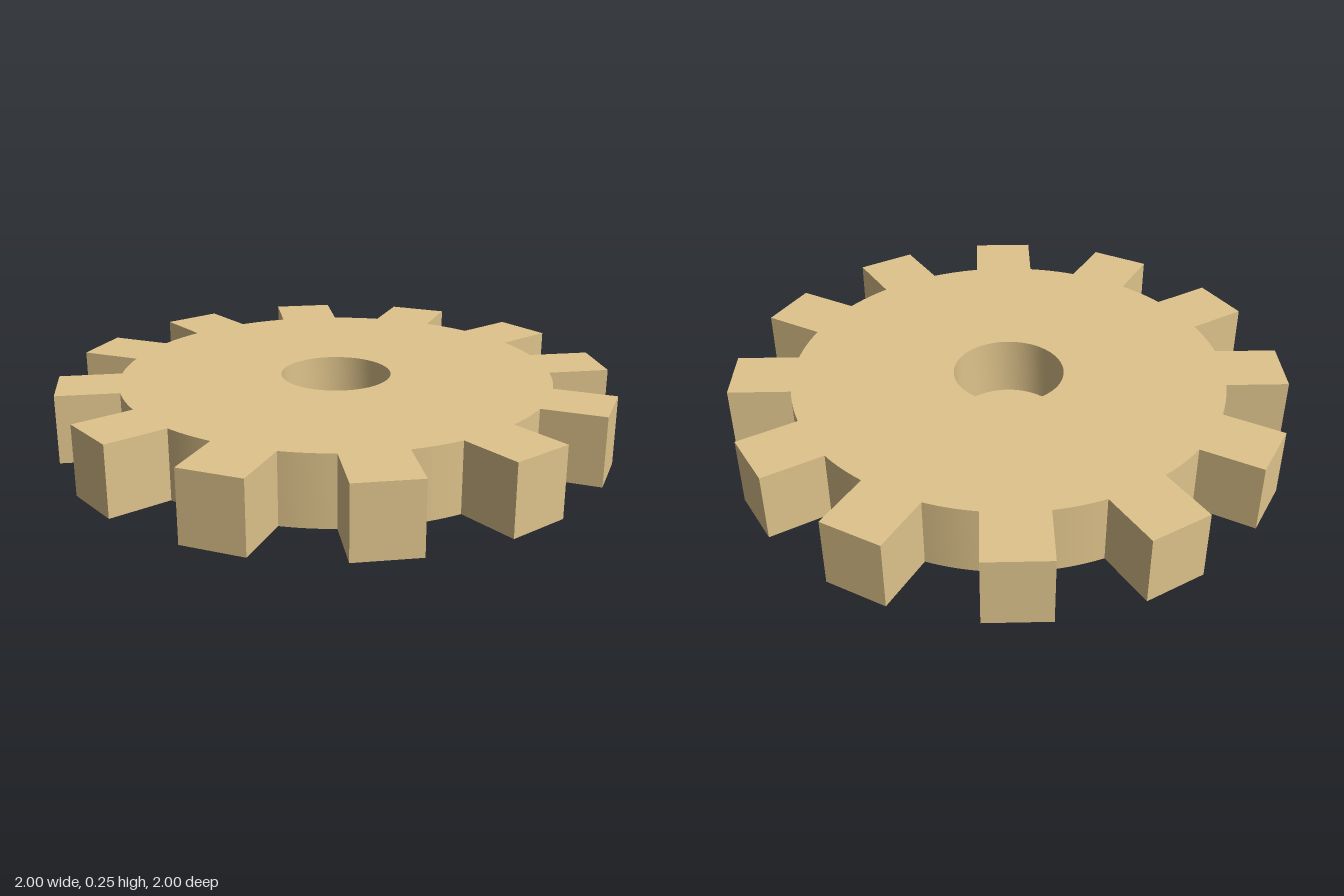
import * as THREE from 'three';
import { toCreasedNormals } from 'three/addons/utils/BufferGeometryUtils.js';

const TEETH = 12;
const ROOT = 0.783;       // radius between the teeth
const TIP = 1;            // distance to the flat tooth ends
const HALF_TOOTH = 0.1125;
const BORE = 0.2;
const HEIGHT = 0.25;
const FLOOR = 0.03;       // thickness left under the blind bore

// Toothed outline: straight-sided teeth joined by arcs of the root circle
function gearOutline() {
  const points = [];
  const step = (Math.PI * 2) / TEETH;
  const rootAngle = Math.asin(HALF_TOOTH / ROOT);
  const arcSegments = 6;
  for (let i = 0; i < TEETH; i++) {
    const a = i * step;
    const centre = new THREE.Vector2();
    for (const side of [-HALF_TOOTH, HALF_TOOTH]) {
      points.push(new THREE.Vector2(TIP, side).rotateAround(centre, a));
    }
    for (let j = 0; j <= arcSegments; j++) {
      const t = a + rootAngle + ((step - 2 * rootAngle) * j) / arcSegments;
      points.push(new THREE.Vector2(Math.cos(t) * ROOT, Math.sin(t) * ROOT));
    }
  }
  return new THREE.Shape(points);
}

export function createModel() {
  const group = new THREE.Group();
  group.name = 'gear';
  const material = new THREE.MeshStandardMaterial({ color: 0xdec38b });

  // Gear body with the bore cut out
  const shape = gearOutline();
  shape.holes.push(new THREE.Path().absarc(0, 0, BORE, 0, Math.PI * 2, true));
  const geometry = new THREE.ExtrudeGeometry(shape, {
    depth: HEIGHT, bevelEnabled: false, curveSegments: 24,
  });
  geometry.rotateX(-Math.PI / 2);
  const body = new THREE.Mesh(toCreasedNormals(geometry, 0.4), material);
  body.name = 'gearBody';
  group.add(body);

  // Floor closing the bore at the underside
  const floor = new THREE.Mesh(new THREE.CylinderGeometry(BORE, BORE, FLOOR, 48), material);
  floor.name = 'boreFloor';
  floor.position.y = FLOOR / 2;
  group.add(floor);

  return group;
}
